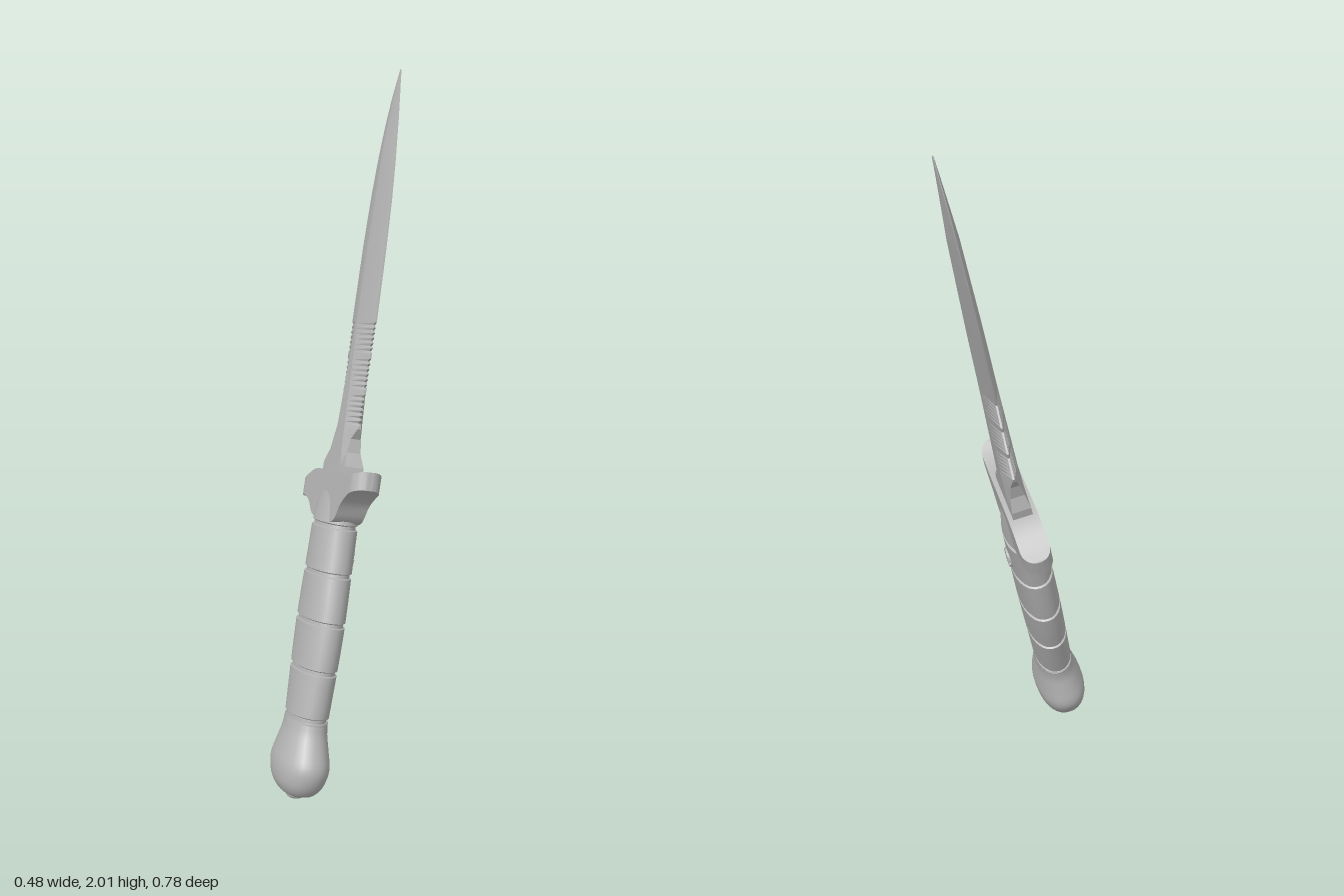
import * as THREE from 'three';
import { toCreasedNormals } from 'three/addons/utils/BufferGeometryUtils.js';

const V = (x, y, z) => new THREE.Vector3(x, y, z);

// Linear lookup in a list of [position, value] pairs
function at(table, s) {
  if (s <= table[0][0]) return table[0][1];
  for (let i = 1; i < table.length; i++) {
    const [a, va] = table[i - 1], [b, vb] = table[i];
    if (s <= b) return va + (vb - va) * (s - a) / (b - a);
  }
  return table[table.length - 1][1];
}

// Smooth version of the lookup, for rounded parts
function smoothTable(table, n = 4) {
  const curve = new THREE.CatmullRomCurve3(table.map(p => V(p[0], p[1], p[2] ?? 0)), false, 'centripetal');
  return curve.getPoints((table.length - 1) * n);
}

// Skin over closed cross-sections, with both ends capped
function loft(rings, crease) {
  const n = rings[0].length, pos = [], index = [];
  rings.flat().forEach(p => pos.push(p.x, p.y, p.z));
  for (let r = 0; r < rings.length - 1; r++) {
    for (let i = 0; i < n; i++) {
      const a = r * n + i, b = r * n + (i + 1) % n;
      index.push(a, a + n, b, b, a + n, b + n);
    }
  }
  [0, rings.length - 1].forEach((r, end) => {
    const c = V(0, 0, 0);
    rings[r].forEach(p => c.addScaledVector(p, 1 / n));
    const ci = pos.length / 3;
    pos.push(c.x, c.y, c.z);
    for (let i = 0; i < n; i++) {
      const a = r * n + i, b = r * n + (i + 1) % n;
      end ? index.push(ci, b, a) : index.push(ci, a, b);
    }
  });
  const g = new THREE.BufferGeometry();
  g.setAttribute('position', new THREE.Float32BufferAttribute(pos, 3));
  g.setIndex(index);
  return toCreasedNormals(g, crease);
}

// Slightly squared oval at height y
function oval(y, halfX, halfZ, sides = 32) {
  const pw = (v) => Math.sign(v) * Math.pow(Math.abs(v), 0.9);
  return Array.from({ length: sides }, (_, i) => {
    const t = i / sides * Math.PI * 2;
    return V(halfX * pw(Math.cos(t)), y, halfZ * pw(Math.sin(t)));
  });
}

export function createModel() {
  const steel = new THREE.MeshStandardMaterial({ color: 0xb4b4b4 });
  steel.name = 'grey steel';
  const knife = new THREE.Group();
  knife.name = 'knife';
  const add = (name, geometry) => {
    const m = new THREE.Mesh(geometry, steel);
    m.name = name;
    knife.add(m);
    return m;
  };

  // Pommel: [height, half thickness, half width]
  const pommel = smoothTable([
    [0.002, 0.03, 0.05], [0.014, 0.05, 0.085], [0.045, 0.07, 0.117], [0.095, 0.078, 0.135],
    [0.15, 0.069, 0.117], [0.195, 0.06, 0.1], [0.23, 0.057, 0.095],
  ]).map(p => oval(p.x, p.y, p.z));
  add('pommel', loft(pommel, 0.8));

  // Small rivet under the pommel
  const rivet = add('pommelRivet', new THREE.SphereGeometry(0.028, 16, 10));
  rivet.scale.y = 0.5;

  // Grip: swelling body with narrow grooves
  const grooves = [0.235, 0.378, 0.52, 0.663, 0.803];
  const gripWidth = [[0.22, 0.096], [0.3, 0.105], [0.378, 0.113], [0.45, 0.118], [0.52, 0.119],
    [0.6, 0.114], [0.663, 0.108], [0.74, 0.102], [0.803, 0.098], [0.9, 0.096]];
  const gripThickness = [[0.22, 0.057], [0.5, 0.061], [0.8, 0.06], [0.85, 0.055], [0.9, 0.044]];
  const stations = [[0.222, 0], [0.87, 0], [0.9, 0]];
  grooves.forEach((g, i) => {
    stations.push([g - 0.008, 0], [g - 0.005, 0.006], [g + 0.005, 0.006], [g + 0.008, 0]);
    const next = grooves[i + 1];
    if (next) for (let k = 1; k < 4; k++) stations.push([g + (next - g) * k / 4, 0]);
  });
  stations.sort((a, b) => a[0] - b[0]);
  add('grip', loft(stations.map(([s, d]) => oval(s, at(gripThickness, s) - d, at(gripWidth, s) - d)), 0.5));

  // Slotted screw: two half discs with a gap on a thin base
  const screw = new THREE.Group();
  screw.name = 'gripScrew';
  const base = new THREE.Mesh(new THREE.CylinderGeometry(0.032, 0.032, 0.016, 24), steel);
  base.name = 'screwBase';
  base.rotation.z = -Math.PI / 2;
  screw.add(base);
  for (const start of [0, Math.PI]) {
    const gap = 0.2;
    const half = new THREE.Shape();
    half.absarc(0, 0, 0.03, start + gap, start + Math.PI - gap);
    const m = new THREE.Mesh(new THREE.ExtrudeGeometry(half, { depth: 0.005, bevelEnabled: false, curveSegments: 14 }), steel);
    m.name = 'screwHead';
    m.rotation.y = Math.PI / 2;
    m.position.x = 0.008;
    screw.add(m);
  }
  screw.position.set(0.053, 0.714, 0);
  knife.add(screw);

  // Guard: one arm bends to the blade, the other to the grip
  const guardTop = smoothTable([[-0.235, 0.905], [-0.2, 0.918], [-0.14, 0.945], [-0.09, 0.956],
    [0.09, 0.956], [0.15, 0.957], [0.2, 0.967], [0.235, 0.98]]).map(p => [p.x, p.y]);
  const guardBottom = smoothTable([[-0.235, 0.857], [-0.2, 0.866], [-0.14, 0.855], [-0.095, 0.82],
    [0.095, 0.82], [0.14, 0.875], [0.19, 0.91], [0.235, 0.928]]).map(p => [p.x, p.y]);
  const guardRings = [];
  const length = 0.238, radius = 0.044;
  for (let i = 0; i <= 48; i++) {
    const t = -length * Math.cos(i / 48 * Math.PI);
    const over = Math.max(0, Math.abs(t) - (length - radius));
    const n = Math.max(0.004, Math.sqrt(Math.max(0, radius * radius - over * over)));
    const top = at(guardTop, t), bottom = at(guardBottom, t);
    guardRings.push([V(n, top, t), V(n, bottom, t), V(-n, bottom, t), V(-n, top, t)]);
  }
  add('guard', loft(guardRings, 0.6));

  // Blade: block at the guard turning into a double-edged diamond
  const frontEdge = [[0.95, 0.092], [0.98, 0.09], [1.02, 0.068], [1.06, 0.065], [1.09, 0.088], [1.25, 0.09],
    [1.41, 0.092], [1.6, 0.083], [1.75, 0.07], [1.87, 0.052], [2.0, 0.025], [2.08, 0.005], [2.141, -0.012]];
  const backEdge = [[0.95, -0.096], [0.98, -0.094], [1.02, -0.075], [1.06, -0.073], [1.09, -0.085], [1.25, -0.093],
    [1.41, -0.103], [1.64, -0.106], [1.78, -0.1], [1.89, -0.088], [1.98, -0.071], [2.05, -0.052], [2.1, -0.034], [2.141, -0.013]];
  const ridge = [[0.95, 0.03], [1.1, 0.027], [1.6, 0.022], [1.9, 0.016], [2.141, 0.002]];
  const edgeThickness = [[0.95, 0.03], [0.98, 0.029], [1.06, 0.014], [1.1, 0.003], [2.0, 0.0015], [2.141, 0.001]];
  const flat = [[0.95, 0.06], [1.1, 0.03], [1.4, 0.008], [2.0, 0.003], [2.141, 0.0005]];
  const cuts = [0.95, 0.98, 1.02, 1.06, 1.09].map(s => [s, 0]);
  for (let i = 0; i < 42; i++) {
    const depth = i % 14 > 11 ? 0 : (i % 2 ? 0.011 : 0);
    cuts.push([1.1 + i * 0.0075, depth]);
  }
  for (let i = 0; i <= 24; i++) cuts.push([1.42 + i * (2.141 - 1.42) / 24, 0]);
  const bladeRings = cuts.map(([s, d]) => {
    const f = at(frontEdge, s) - d, b = at(backEdge, s) + d;
    const mid = (at(frontEdge, s) + at(backEdge, s)) / 2;
    const n = at(ridge, s), e = Math.min(n, at(edgeThickness, s)), w = at(flat, s);
    return [V(n, s, mid - w), V(n, s, mid + w), V(e, s, f), V(-e, s, f),
      V(-n, s, mid + w), V(-n, s, mid - w), V(-e, s, b), V(e, s, b)];
  });
  add('blade', loft(bladeRings, 0.25));

  // Lean the whole knife: y along its length, z across its width
  const along = V(0.194, 0.931, -0.305).normalize();
  const across = V(0.2, 0.286, 1);
  across.addScaledVector(along, -across.dot(along)).normalize();
  const through = along.clone().cross(across);
  knife.quaternion.setFromRotationMatrix(new THREE.Matrix4().makeBasis(through, along, across));
  knife.position.set(-0.168, 0.01, 0.293);

  const model = new THREE.Group();
  model.name = 'combatKnife';
  model.add(knife);
  return model;
}
